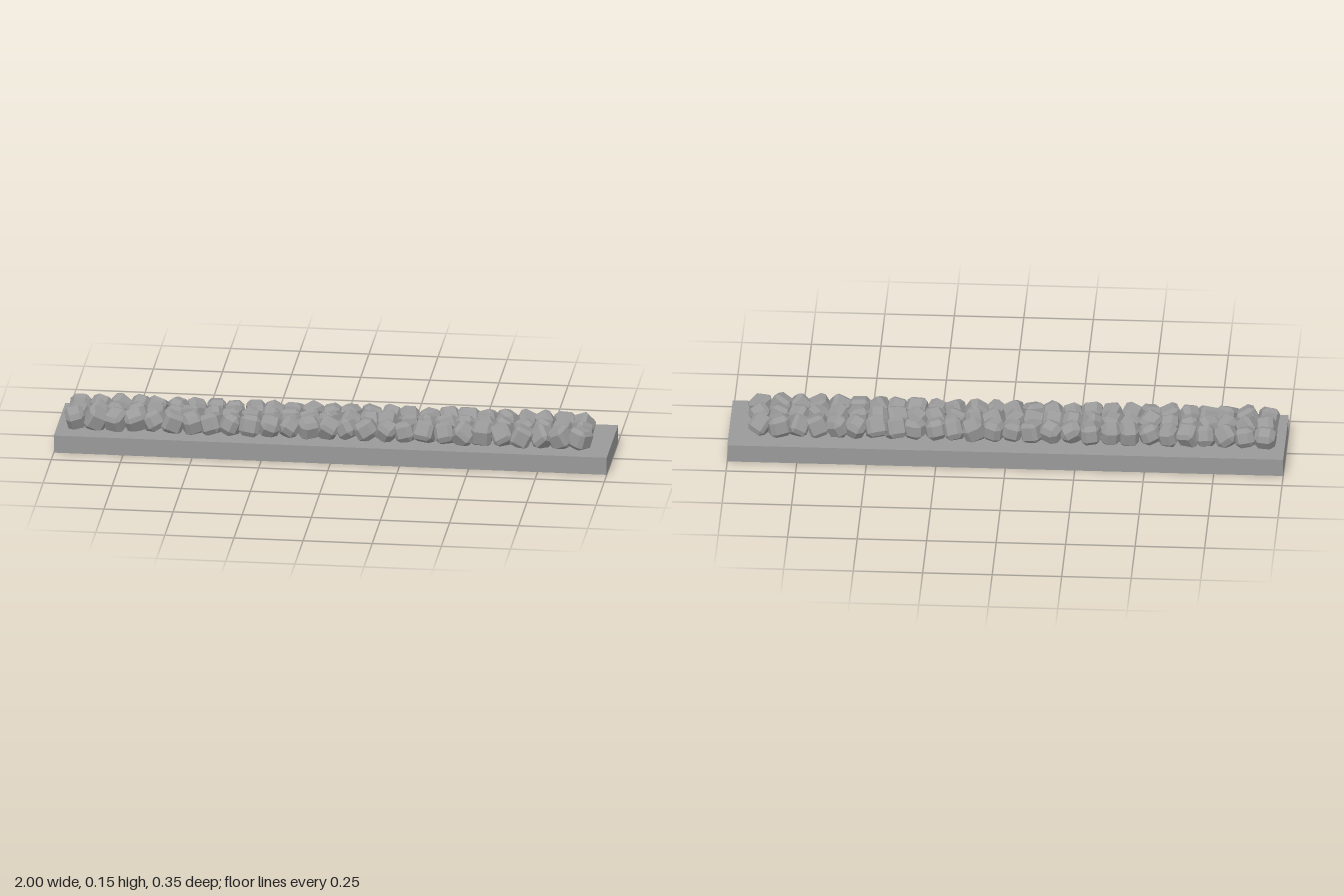
import * as THREE from 'three';
import { ConvexGeometry } from 'three/addons/geometries/ConvexGeometry.js';
import { mergeGeometries } from 'three/addons/utils/BufferGeometryUtils.js';

// Small seeded random generator
function seeded(seed) {
  return () => {
    seed = (seed * 16807) % 2147483647;
    return seed / 2147483647;
  };
}

// Faceted stone: a cube with bevelled edges and corners
function stoneGeometry(bevel) {
  const points = [];
  for (let axis = 0; axis < 3; axis++) {
    for (const s of [-1, 1]) for (const u of [-bevel, bevel]) for (const v of [-bevel, bevel]) {
      const p = new THREE.Vector3();
      p.setComponent(axis, s);
      p.setComponent((axis + 1) % 3, u);
      p.setComponent((axis + 2) % 3, v);
      points.push(p);
    }
  }
  return new ConvexGeometry(points);
}

export function createModel() {
  const group = new THREE.Group();
  const stoneGrey = new THREE.MeshStandardMaterial({ name: 'stone grey', color: 0x999999, flatShading: true });

  // Flat slab
  const slab = new THREE.Mesh(new THREE.BoxGeometry(2, 0.065, 0.35), stoneGrey);
  slab.name = 'slab';
  slab.position.y = 0.0325;
  group.add(slab);

  // Three rows of tumbled stones, sunk slightly into the slab
  const random = seeded(4127);
  const spread = (amount) => (random() * 2 - 1) * amount;
  const shapes = [0.52, 0.58, 0.64].map(stoneGeometry);
  const rows = [['frontStones', 0.077], ['middleStones', 0.004], ['backStones', -0.07]];
  const count = 27;

  for (const [name, z] of rows) {
    const stones = [];
    for (let i = 0; i < count; i++) {
      const matrix = new THREE.Matrix4().compose(
        new THREE.Vector3(-0.93 + i * 0.07 + spread(0.004), 0.1 + spread(0.002), z + spread(0.004)),
        new THREE.Quaternion().setFromEuler(new THREE.Euler(spread(0.6), spread(0.6), spread(0.6))),
        new THREE.Vector3(0.036 + spread(0.003), 0.037 + spread(0.002), 0.037 + spread(0.003))
      );
      stones.push(shapes[Math.floor(random() * shapes.length)].clone().applyMatrix4(matrix));
    }
    const row = new THREE.Mesh(mergeGeometries(stones), stoneGrey);
    row.name = name;
    group.add(row);
  }
  return group;
}
